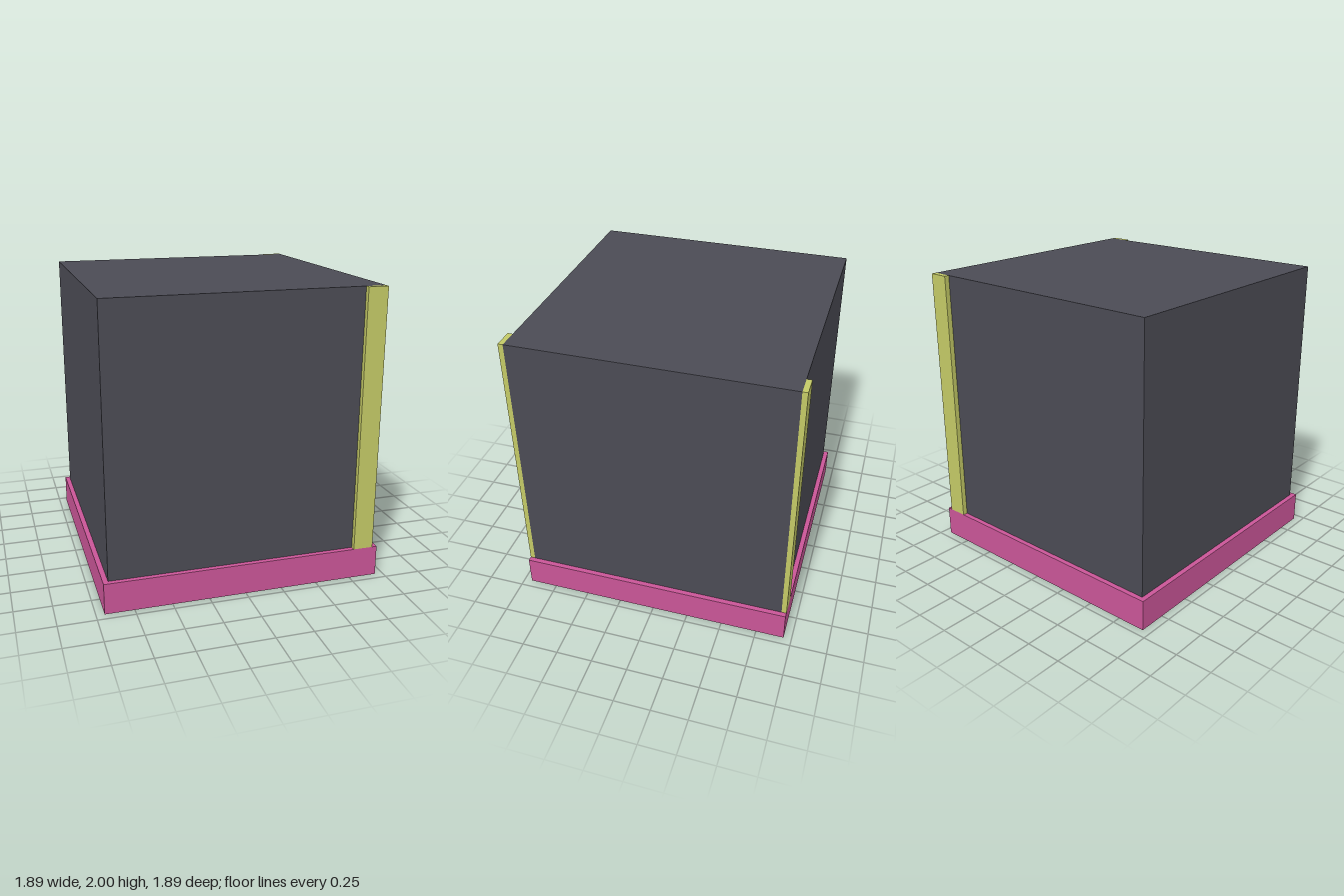
import * as THREE from 'three';

const charcoal = new THREE.MeshStandardMaterial({ name: 'charcoal', color: 0x4b4b54 });
const pink = new THREE.MeshStandardMaterial({ name: 'pink', color: 0xc95597 });
const lime = new THREE.MeshStandardMaterial({ name: 'lime', color: 0xc3c966 });

// Box given by its lower and upper corners
function box(name, material, [x0, y0, z0], [x1, y1, z1]) {
  const mesh = new THREE.Mesh(new THREE.BoxGeometry(x1 - x0, y1 - y0, z1 - z0), material);
  mesh.position.set((x0 + x1) / 2, (y0 + y1) / 2, (z0 + z1) / 2);
  mesh.name = name;
  return mesh;
}

export function createModel() {
  const model = new THREE.Group();
  model.name = 'blockOnPlinth';

  const base = 0.945; // half width of the plinth
  const body = 0.911; // half width of the block
  const baseTop = 0.21;
  const top = 2;

  model.add(box('plinth', pink, [-base, 0, -base], [base, baseTop, base]));
  model.add(box('block', charcoal, [-body, baseTop, -body], [body, top, body]));

  // Upright strips standing proud of the front and back, near the left edge
  model.add(box('frontStrip', lime, [0.774, baseTop, body], [body, top, base]));
  model.add(box('backStrip', lime, [0.774, baseTop, -base], [body, top, -body]));

  return model;
}
